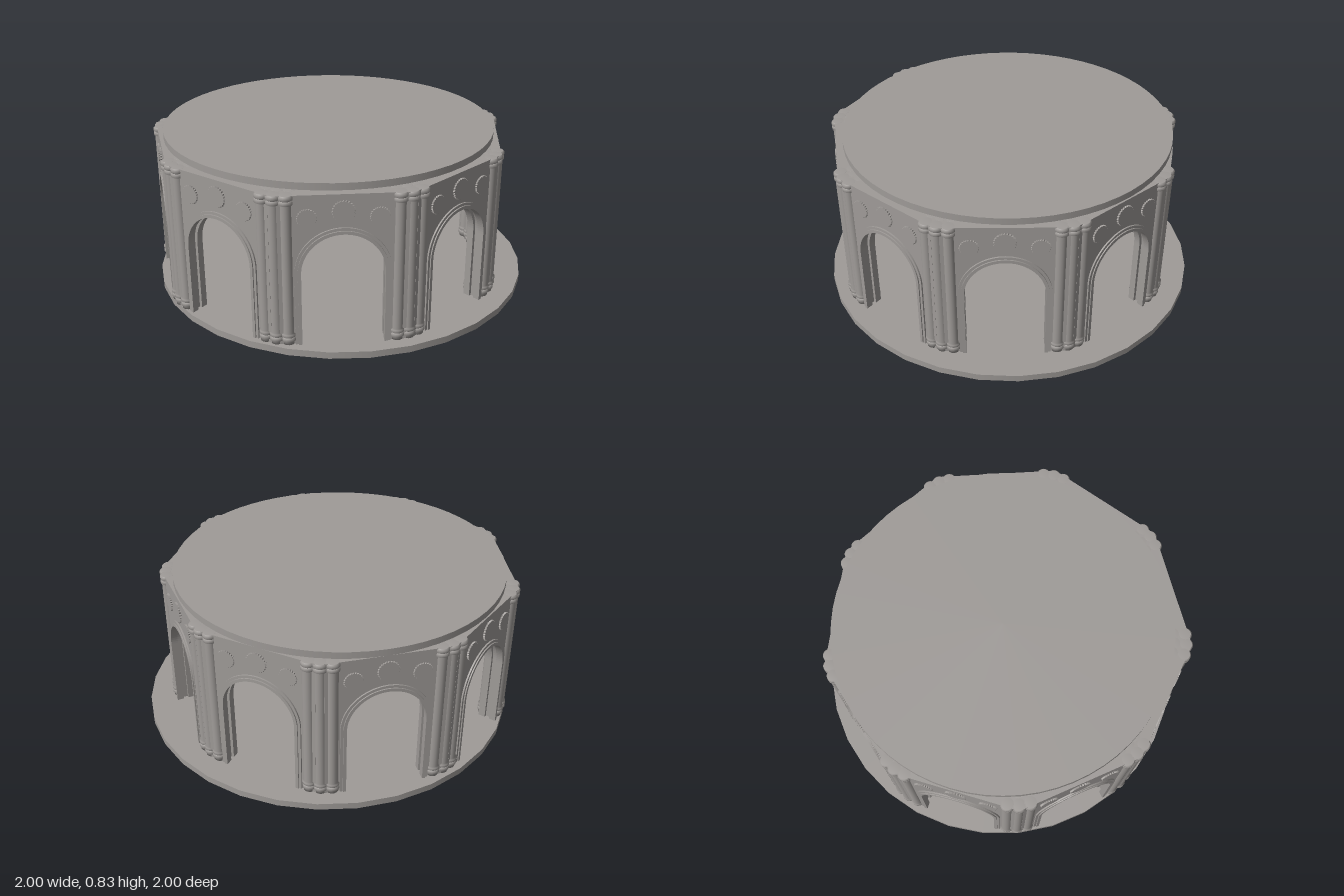
import * as THREE from 'three';

const BAYS = 9, STEP = (Math.PI * 2) / BAYS, TURN = THREE.MathUtils.degToRad(5.5);
const FLOOR = 0.035, TOP = 0.8, SPRING = 0.41, APOTHEM = 0.885, THICK = 0.07;

const stone = new THREE.MeshStandardMaterial({ color: 0x9f9b98 });
stone.name = 'warm grey stone';

function add(parent, geometry, name, x = 0, y = 0, z = 0) {
  const mesh = new THREE.Mesh(geometry, stone);
  mesh.name = name;
  mesh.position.set(x, y, z);
  parent.add(mesh);
  return mesh;
}

const extrude = (shape, depth) =>
  new THREE.ExtrudeGeometry(shape, { depth, bevelEnabled: false, curveSegments: 24 });

// closes an outline along the inside of a round-headed doorway
function cutDoorway(shape, r) {
  shape.lineTo(r, FLOOR);
  shape.lineTo(r, SPRING);
  shape.absarc(0, SPRING, r, 0, Math.PI, false);
  shape.lineTo(-r, FLOOR);
  shape.closePath();
  return shape;
}

function wallShape(half, r) {
  const s = new THREE.Shape();
  s.moveTo(-half, FLOOR);
  s.lineTo(-half, TOP - 0.003);
  s.lineTo(half, TOP - 0.003);
  s.lineTo(half, FLOOR);
  return cutDoorway(s, r);
}

function archBand(outer, inner) {
  const s = new THREE.Shape();
  s.moveTo(-outer, FLOOR);
  s.lineTo(-outer, SPRING);
  s.absarc(0, SPRING, outer, Math.PI, 0, true);
  s.lineTo(outer, FLOOR);
  return cutDoorway(s, inner);
}

// toothed round ornament
function rosetteShape(r, teeth = 24) {
  const s = new THREE.Shape();
  for (let i = 0; i < teeth * 2; i++) {
    const a = (i * Math.PI) / teeth, q = i % 2 ? r * 0.9 : r;
    i ? s.lineTo(q * Math.cos(a), q * Math.sin(a)) : s.moveTo(q, 0);
  }
  s.closePath();
  return s;
}

// shaft with a pair of rounded rings at each end
function shaftGeometry() {
  const r = 0.03, pts = [[0, FLOOR], [r, FLOOR]];
  for (const y of [0.06, 0.083, 0.761, 0.784]) {
    pts.push([r, y - 0.012], [0.036, y - 0.007], [0.036, y + 0.007], [r, y + 0.012]);
  }
  pts.push([r, TOP - 0.002], [0, TOP - 0.002]);
  return new THREE.LatheGeometry(pts.map(p => new THREE.Vector2(...p)), 18);
}

export function createModel() {
  const model = new THREE.Group();
  model.name = 'arcadeRotunda';

  // round base and roof
  add(model, new THREE.CylinderGeometry(1, 1, FLOOR, 32), 'baseDisc', 0, FLOOR / 2, 0);
  add(model, new THREE.CylinderGeometry(0.87, 0.87, 0.035, 64), 'roofDisc', -0.06, TOP + 0.0175, -0.02);

  const arcade = new THREE.Group();
  arcade.name = 'arcade';
  arcade.position.x = -0.065;
  model.add(arcade);

  const wall = extrude(wallShape(0.3, 0.21), THICK);
  const outerBand = extrude(archBand(0.225, 0.208), 0.03);
  const innerBand = extrude(archBand(0.211, 0.195), 0.036);
  const bigRosette = extrude(rosetteShape(0.054), 0.009);
  const smallRosette = extrude(rosetteShape(0.047), 0.009);
  const shaft = shaftGeometry();

  for (let k = 0; k < BAYS; k++) {
    // wall bay with its doorway mouldings on both faces
    const bay = new THREE.Group();
    bay.name = 'archBay';
    bay.rotation.y = TURN + (k + 0.5) * STEP;
    arcade.add(bay);
    add(bay, wall, 'wallPanel', 0, 0, APOTHEM - THICK);
    add(bay, outerBand, 'outerArchMoulding', 0, 0, APOTHEM - 0.022);
    add(bay, innerBand, 'innerArchMoulding', 0, 0, APOTHEM - 0.022);
    add(bay, outerBand, 'rearOuterMoulding', 0, 0, APOTHEM - THICK - 0.008);
    add(bay, innerBand, 'rearInnerMoulding', 0, 0, APOTHEM - THICK - 0.014);

    // three ornaments above the arch
    add(bay, bigRosette, 'middleRosette', 0, 0.715, APOTHEM);
    for (const side of [-1, 1]) {
      add(bay, smallRosette, 'sideRosette', side * 0.165, 0.686, APOTHEM);
    }

    // clustered column at the corner, outside and inside
    const cluster = new THREE.Group();
    cluster.name = 'columnCluster';
    cluster.rotation.y = TURN + k * STEP;
    arcade.add(cluster);
    for (const t of [-1, 0, 1]) {
      add(cluster, shaft, 'outerShaft', t * 0.055, 0, t ? 0.904 : 0.912);
      add(cluster, shaft, 'innerShaft', t * 0.05, 0, t ? 0.842 : 0.852);
    }
  }
  return model;
}
